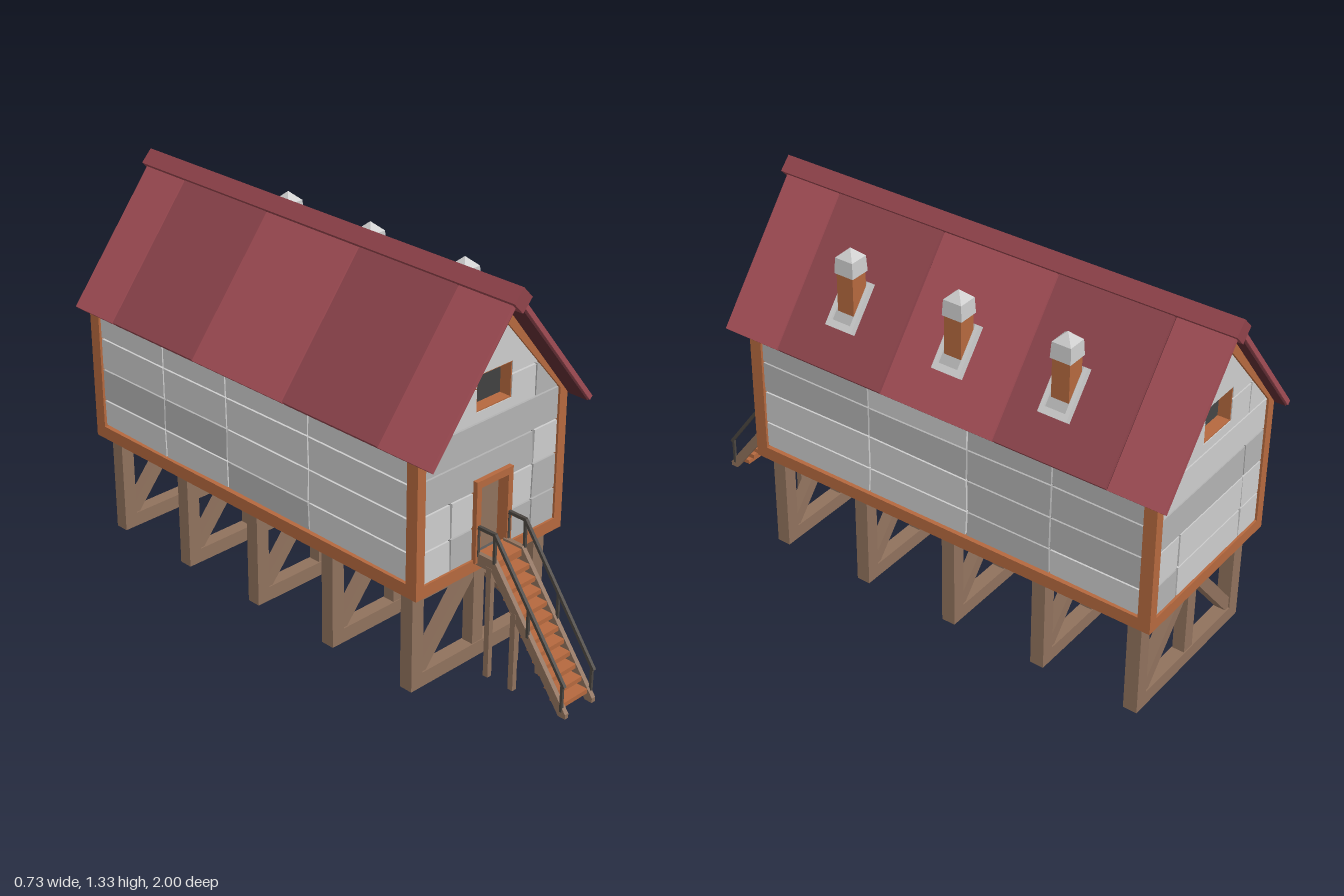
import * as THREE from 'three';

const mat = (color) => new THREE.MeshStandardMaterial({ color, flatShading: true });
const WOOD = mat(0x8f715c), TRIM = mat(0xb4683e), FLOOR = mat(0x6b5340), RAIL = mat(0x4a4540);
const STONES = [0xcccccc, 0xb2b2b2, 0xbfbfbf].map(mat), SEAM = mat(0x5a5a5a), GREY = STONES[0];
const REDS = [0xa04c54, 0x8c434b].map(mat), DARK_RED = mat(0x5a2a30), RIDGE = mat(0x8f424a);

export function createModel() {
  const model = new THREE.Group();
  let parent = model;
  let seed = 7;
  const rnd = () => ((seed = (seed * 16807) % 2147483647) / 2147483647);
  const jitter = (v) => v + (rnd() - 0.5) * 0.006;

  const group = (name, build) => {
    const old = parent;
    const g = new THREE.Group();
    g.name = name;
    old.add(g);
    parent = g;
    build(g);
    parent = old;
  };
  const add = (name, geo, material) => {
    const m = new THREE.Mesh(geo, material);
    m.name = name;
    parent.add(m);
    return m;
  };
  // Box given by its limits on each axis
  const box = (name, x0, x1, y0, y1, z0, z1, material) => {
    const m = add(name, new THREE.BoxGeometry(x1 - x0, y1 - y0, z1 - z0), material);
    m.position.set((x0 + x1) / 2, (y0 + y1) / 2, (z0 + z1) / 2);
    return m;
  };
  // Bar running from a to b
  const beam = (name, a, b, w, d, material) => {
    const va = new THREE.Vector3(...a), dir = new THREE.Vector3(...b).sub(va);
    const m = add(name, new THREE.BoxGeometry(w, dir.length(), d), material);
    m.position.copy(va).addScaledVector(dir, 0.5);
    m.quaternion.setFromUnitVectors(new THREE.Vector3(0, 1, 0), dir.normalize());
  };
  // Outline in x/y pushed along z
  const vec = (pts) => pts.map(([x, y]) => new THREE.Vector2(x, y));
  const prism = (name, pts, z0, z1, material, holes = []) => {
    const shape = new THREE.Shape(vec(pts));
    holes.forEach((h) => shape.holes.push(new THREE.Path(vec(h))));
    const geo = new THREE.ExtrudeGeometry(shape, { depth: z1 - z0, bevelEnabled: false });
    return add(name, geo.translate(0, 0, z0), material);
  };
  // Outline in z/y pushed along x
  const sidePrism = (name, pts, x0, x1, material) => {
    prism(name, pts.map(([z, y]) => [-z, y]), x0, x1, material).rotation.y = Math.PI / 2;
  };
  const rect = (x0, x1, y0, y1) => [[x0, y0], [x1, y0], [x1, y1], [x0, y1]];
  const stone = () => STONES[Math.floor(rnd() * 3)];

  // Trestles under the house
  [0.545, 0.19, -0.17, -0.525, -0.88].forEach((z) => group('trestle', () => {
    const z0 = z - 0.025, z1 = z + 0.025;
    box('footBeam', -0.26, 0.26, 0, 0.052, z0, z1, WOOD);
    box('centrePost', -0.024, 0.024, 0.05, 0.37, z0 + 0.003, z1 - 0.003, WOOD);
    for (const s of [-1, 1]) {
      box('post', s * 0.28 - 0.025, s * 0.28 + 0.025, 0, 0.37, z0, z1, WOOD);
      beam('brace', [s * 0.265, 0.05, z], [s * 0.012, 0.35, z], 0.042, 0.04, WOOD);
    }
  }));

  box('floor', -0.325, 0.325, 0.366, 0.39, -0.94, 0.605, FLOOR);

  // Gable ends: half width of the stone field at height y
  const half = (y) => (y < 0.872 ? 0.302 : Math.max(0.006, 0.302 * (1.218 - y) / 0.346));
  const pentagon = (w, y0, y1, top) => [[-w, y0], [w, y0], [w, y1], [0, top], [-w, y1]];
  const windowHole = rect(-0.079, 0.079, 0.911, 1.034);
  const G = 0.003;
  const panel = (y0, y1, x0, x1, bottomNotch, topNotch) => {
    const a = y0 + G, b = y1 - G;
    const L = (y) => Math.max(jitter(x0) + G, -half(y)), R = (y) => Math.min(jitter(x1) - G, half(y));
    const pts = [[L(a), a]];
    if (bottomNotch) {
      const [w, h] = bottomNotch;
      pts.push([-w, a], [-w, h], [w, h], [w, a]);
    }
    pts.push([R(a), a], [R(b), b]);
    if (topNotch) {
      const [w, h] = topNotch;
      pts.push([w, b], [w, h], [-w, h], [-w, b]);
    }
    pts.push([L(b), b]);
    prism('stonePanel', pts, 0.588, 0.605, stone());
  };
  const gable = (name, hasDoor) => group(name, (g) => {
    prism('gableFrame', pentagon(0.335, 0.362, 0.847, 1.268), 0.568, 0.613, TRIM,
      [pentagon(0.3, 0.405, 0.872, 1.218)]);
    const door = rect(-0.065, 0.065, 0.41, 0.665);
    prism('wallCore', pentagon(0.31, 0.39, 0.86, 1.235), 0.576, 0.594, SEAM,
      hasDoor ? [windowHole, door] : [windowHole]);
    prism('windowLining', windowHole, 0.56, 0.602, TRIM, [rect(-0.075, 0.075, 0.915, 1.03)]);
    for (const [y0, y1] of [[0.402, 0.515], [0.515, 0.64]]) {
      panel(y0, y1, -0.31, -0.18);
      if (hasDoor) {
        panel(y0, y1, -0.18, -0.068);
        panel(y0, y1, 0.068, 0.19);
      } else panel(y0, y1, -0.18, 0.19);
      panel(y0, y1, 0.19, 0.31);
    }
    panel(0.64, 0.76, -0.31, 0.19, hasDoor && [0.068, 0.67]);
    panel(0.64, 0.76, 0.19, 0.31);
    panel(0.76, 0.875, -0.31, 0.31);
    panel(0.875, 0.99, -0.31, -0.18);
    panel(0.875, 0.99, -0.18, 0.19, null, [0.079, 0.911]);
    panel(0.875, 0.99, 0.19, 0.31);
    panel(0.99, 1.221, -0.31, 0.31, [0.079, 1.034]);
    if (hasDoor) {
      box('door', -0.066, 0.066, 0.39, 0.67, 0.562, 0.58, WOOD);
      prism('doorFrame', [[-0.082, 0.395], [-0.061, 0.395], [-0.061, 0.657], [0.061, 0.657],
        [0.061, 0.395], [0.082, 0.395], [0.082, 0.682], [-0.082, 0.682]], 0.565, 0.622, TRIM);
    } else {
      g.rotation.y = Math.PI;
      g.position.z = -0.337;
    }
  });
  gable('frontGable', true);
  gable('backGable', false);

  // Long side walls
  const rows = [0.41, 0.51, 0.63, 0.745, 0.858], cols = [0.572, 0.13, -0.26, -0.575, -0.908];
  for (const s of [-1, 1]) group(s > 0 ? 'leftWall' : 'rightWall', () => {
    const span = (a, b) => (s > 0 ? [a, b] : [-b, -a]);
    box('wallCore', ...span(0.3, 0.314), 0.385, 0.858, -0.91, 0.575, SEAM);
    box('sillBeam', ...span(0.295, 0.335), 0.362, 0.408, -0.91, 0.575, TRIM);
    // shared jittered corners keep the seams even
    const ys = rows.map((y) => cols.map(() => jitter(y)));
    const zs = rows.map(() => cols.map((z) => jitter(z)));
    for (let r = 0; r < 4; r++) for (let c = 0; c < 4; c++) {
      const at = (i, j, dz, dy) => [zs[i][j] + dz * G, ys[i][j] + dy * G];
      sidePrism('stonePanel', [at(r, c, -1, 1), at(r, c + 1, 1, 1), at(r + 1, c + 1, 1, -1),
        at(r + 1, c, -1, -1)], ...span(0.31, 0.326), stone());
    }
  });

  // Roof slopes in strips over a dark underlay
  const seams = [0.69, 0.47, 0.05, -0.38, -0.79, -0.99];
  for (const s of [-1, 1]) group('roofSlope', () => {
    prism('roofUnderlay', [[0, 1.29], [s * 0.355, 0.844], [s * 0.347, 0.836], [0, 1.268]],
      -0.985, 0.685, DARK_RED);
    for (let i = 0; i < 5; i++) {
      const lift = (i % 2) * 0.003;
      prism('roofStrip', [[0, 1.305 + lift], [s * 0.364, 0.849 + lift], [s * 0.352, 0.838], [0, 1.28]],
        seams[i + 1] + (i < 4 ? G : 0), seams[i] - (i ? G : 0), REDS[i % 2]);
    }
  });
  prism('ridgeCap', [[0, 1.326], [-0.04, 1.284], [0, 1.242], [0.04, 1.284]], -1, 0.705, RIDGE);

  // Chimneys on the left slope
  [0.265, -0.155, -0.55].forEach((z) => group('chimney', (g) => {
    g.position.set(0.225, 0, z);
    box('shaft', -0.032, 0.032, 0.96, 1.15, -0.032, 0.032, TRIM);
    const square = (name, r0, r1, y0, y1) => {
      const geo = new THREE.CylinderGeometry(r1 * Math.SQRT2, r0 * Math.SQRT2, y1 - y0, 4);
      add(name, geo.rotateY(Math.PI / 4).translate(0, (y0 + y1) / 2, 0), GREY);
    };
    square('cap', 0.037, 0.034, 1.145, 1.2);
    square('capPoint', 0.034, 0, 1.2, 1.232);
    group('flashing', (f) => {
      f.position.set(0.002, 1.026, 0);
      f.rotation.z = -0.9;
      box('plate', -0.085, 0.085, -0.02, 0.012, -0.042, 0.042, STONES[1]);
      box('lowerLip', 0.065, 0.088, -0.02, 0.022, -0.052, 0.052, GREY);
      for (const s of [-1, 1]) box('sideLip', -0.085, 0.066, -0.02, 0.022, s * 0.045 - 0.007, s * 0.045 + 0.007, GREY);
    });
  }));

  // Stairs with landing, legs and rails
  group('stairs', () => {
    box('landing', -0.06, 0.06, 0.398, 0.422, 0.605, 0.69, TRIM);
    for (let i = 0; i < 11; i++) {
      const y = 0.375 - i * 0.034, z = 0.705 + i * 0.0255;
      box('tread', -0.058, 0.058, y - 0.008, y + 0.008, z - 0.035, z + 0.02, TRIM);
    }
    for (const s of [-1, 1]) {
      const x = s * 0.064;
      sidePrism('stringer', [[0.612, 0.43], [0.69, 0.43], [1, 0.016], [1, 0], [0.972, 0],
        [0.68, 0.388], [0.612, 0.388]], x - 0.008, x + 0.008, WOOD);
      for (const [z, y] of [[0.67, 0.4], [0.775, 0.28]])
        box('leg', x - 0.009, x + 0.009, 0, y, z - 0.01, z + 0.01, WOOD);
      const rx = s * 0.07;
      for (const [z, y0, y1] of [[0.62, 0.42, 0.525], [0.69, 0.42, 0.525], [0.835, 0.22, 0.325], [0.982, 0.02, 0.12]])
        beam('railPost', [rx, y0, z], [rx, y1, z], 0.009, 0.009, RAIL);
      beam('topRail', [rx, 0.523, 0.613], [rx, 0.523, 0.694], 0.011, 0.011, RAIL);
      beam('slopingRail', [rx, 0.523, 0.69], [rx, 0.11, 0.99], 0.011, 0.011, RAIL);
    }
  });
  return model;
}
